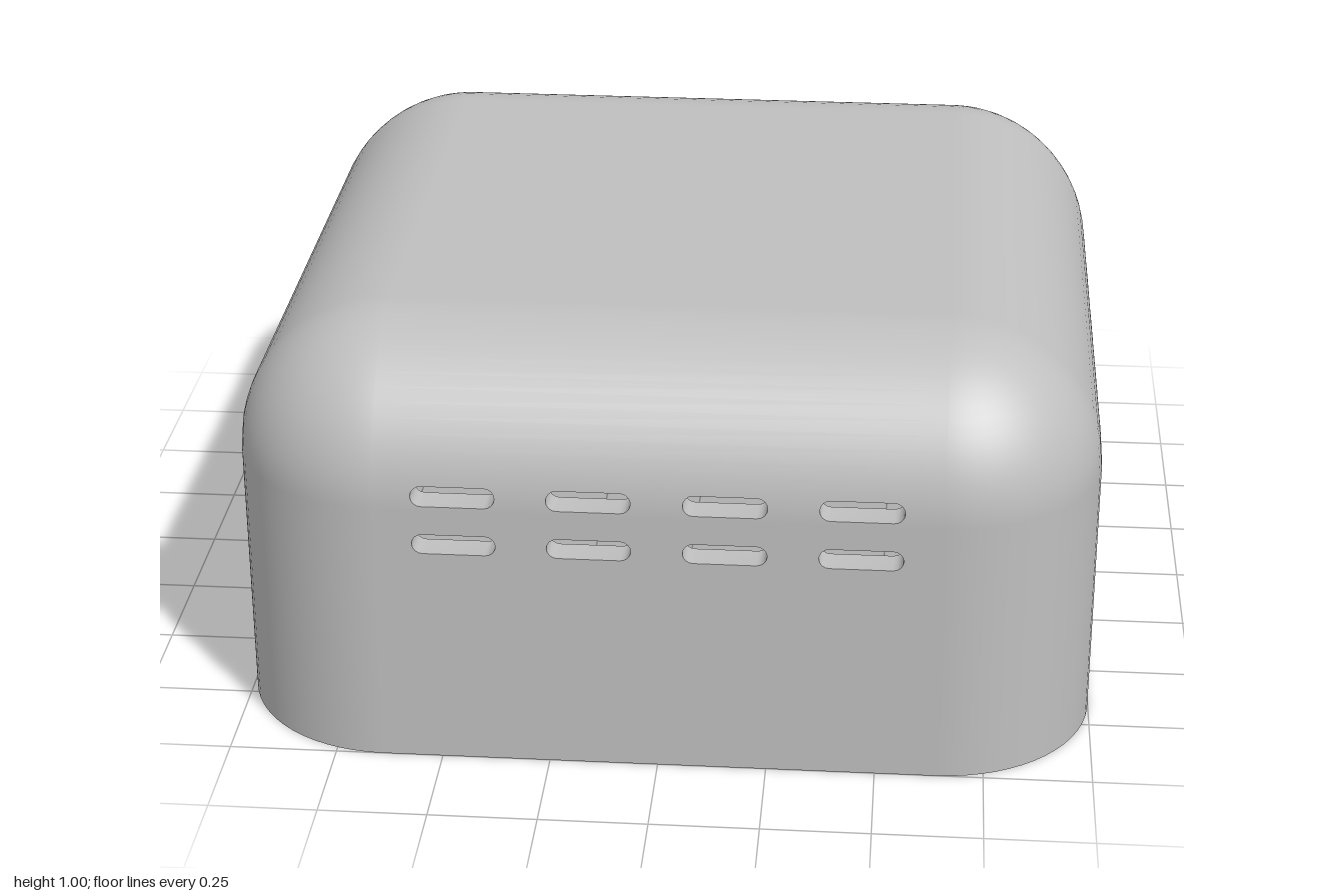
import * as THREE from 'three';
import { toCreasedNormals } from 'three/addons/utils/BufferGeometryUtils.js';

const CORE = 0.64;            // half width of the flat areas, and where the top rounding starts
const OUT = 0.36, INN = 0.29; // outer and inner rounding radius
const WALL = OUT - INN;
const BAND = 0.71;            // top of the vented band
const POCKET = 0.035;         // depth of the clip pockets and ceiling recess

const grey = new THREE.MeshStandardMaterial({ color: 0xbfbfbf });
grey.name = 'grey plastic';

function add(parent, name, geometry) {
  const mesh = new THREE.Mesh(geometry, grey);
  mesh.name = name;
  parent.add(mesh);
  return mesh;
}

// Distance of the rounded wall from the centre at height y
function surfaceZ(y, radius) {
  const h = Math.max(0, y - CORE);
  return CORE + Math.sqrt(Math.max(0, radius * radius - h * h));
}

// Exact normals of a rounded box; the inner skin is turned inside out
function finishSkin(geometry, inward) {
  const p = geometry.attributes.position, n = geometry.attributes.normal;
  const point = new THREE.Vector3(), core = new THREE.Vector3();
  for (let i = 0; i < p.count; i++) {
    point.fromBufferAttribute(p, i);
    core.set(THREE.MathUtils.clamp(point.x, -CORE, CORE), Math.min(point.y, CORE),
      THREE.MathUtils.clamp(point.z, -CORE, CORE));
    point.sub(core).normalize().multiplyScalar(inward ? -1 : 1);
    n.setXYZ(i, point.x, point.y, point.z);
  }
  if (inward) geometry.index.array.reverse();
  return geometry;
}

// Push a flat panel out onto the rounded wall
function bend(geometry, radius) {
  const p = geometry.attributes.position;
  for (let i = 0; i < p.count; i++) p.setZ(i, surfaceZ(p.getY(i), radius));
  return finishSkin(geometry, radius === INN);
}

function rectPoints(cx, cy, w, h) {
  return [[-1, -1], [1, -1], [1, 1], [-1, 1]].map(([a, b]) => new THREE.Vector2(cx + a * w / 2, cy + b * h / 2));
}

function slotPoints(cx, cy, w, h) {
  const points = [], steps = 8;
  for (const side of [1, -1]) {
    for (let i = 0; i <= steps; i++) {
      const a = -Math.PI / 2 + Math.PI * i / steps;
      points.push(new THREE.Vector2(
        cx + side * (w / 2 - h / 2 + Math.cos(a) * h / 2), cy + side * Math.sin(a) * h / 2));
    }
  }
  return points;
}

function panel(outline, holes) {
  const shape = new THREE.Shape(outline);
  shape.holes = holes.map(h => new THREE.Path(h));
  return new THREE.ShapeGeometry(shape);
}

// Walls lining a hole, from the high z to the low z
function holeWalls(points, highZ, lowZ) {
  const v = [];
  points.forEach((a, i) => {
    const b = points[(i + 1) % points.length];
    const A = [a.x, a.y, highZ(a.y)], B = [b.x, b.y, highZ(b.y)];
    const C = [b.x, b.y, lowZ(b.y)], D = [a.x, a.y, lowZ(a.y)];
    v.push(...A, ...B, ...C, ...A, ...C, ...D);
  });
  const g = new THREE.BufferGeometry();
  g.setAttribute('position', new THREE.Float32BufferAttribute(v, 3));
  g.computeVertexNormals();
  return toCreasedNormals(g, 0.6);
}

// Heights up the rounding, from the vented band to the top
function roundingHeights(radius, steps = 14) {
  const start = Math.asin((BAND - CORE) / radius);
  return Array.from({ length: steps + 1 }, (_, i) =>
    CORE + radius * Math.sin(start + (Math.PI / 2 - start) * i / steps));
}

function createSide() {
  const side = new THREE.Group();
  side.name = 'side';
  const xs = [-0.458, -0.153, 0.153, 0.458];
  const lowVents = xs.map(x => slotPoints(x, 0.556, 0.19, 0.048));
  const highVents = xs.map(x => slotPoints(x, 0.675, 0.19, 0.048));
  const pockets = [-0.375, 0.375].map(x => rectPoints(x, 0.12, 0.25, 0.055));
  const lower = rectPoints(0, CORE / 2, 2 * CORE, CORE);
  const upper = rectPoints(0, (CORE + BAND) / 2, 2 * CORE, BAND - CORE);

  for (const radius of [OUT, INN]) {
    const label = radius === OUT ? 'outer' : 'inner';
    const holes = radius === OUT ? lowVents : [...lowVents, ...pockets];
    add(side, label + 'Wall', bend(panel(lower, holes), radius));
    add(side, label + 'VentBand', bend(panel(upper, highVents), radius));
    // Rounded edge between wall and top
    const heights = roundingHeights(radius);
    const strip = new THREE.PlaneGeometry(2 * CORE, 1, 1, heights.length - 1);
    const p = strip.attributes.position;
    for (let i = 0; i < p.count; i++) p.setY(i, heights[heights.length - 1 - Math.floor(i / 2)]);
    add(side, label + 'Rounding', bend(strip, radius));
  }

  for (const vent of [...lowVents, ...highVents]) {
    add(side, 'ventLining', holeWalls(vent, y => surfaceZ(y, OUT), y => surfaceZ(y, INN)));
  }

  // Clip pockets sunk into the inside of the wall
  const inside = CORE + INN;
  for (const pocket of pockets) {
    add(side, 'clipPocketSides', holeWalls(pocket, () => inside + POCKET, () => inside));
    add(side, 'clipPocketBack', panel(pocket, []).rotateY(Math.PI)
      .translate(pocket[0].x + pocket[1].x, 0, inside + POCKET));
  }

  add(side, 'bottomRim', new THREE.PlaneGeometry(2 * CORE, WALL).rotateX(Math.PI / 2)
    .translate(0, 0, CORE + INN + WALL / 2));
  return side;
}

function createCorner() {
  const corner = new THREE.Group();
  corner.name = 'corner';
  const turn = profile => new THREE.LatheGeometry(profile, 16, 0, Math.PI / 2).translate(CORE, 0, CORE);
  for (const radius of [OUT, INN]) {
    const profile = [0, CORE, ...roundingHeights(radius)]
      .map(y => new THREE.Vector2(surfaceZ(y, radius) - CORE, y));
    add(corner, radius === OUT ? 'outerCorner' : 'innerCorner', finishSkin(turn(profile), radius === INN));
  }
  add(corner, 'cornerRim', turn([new THREE.Vector2(INN, 0), new THREE.Vector2(OUT, 0)]));
  return corner;
}

export function createModel() {
  const model = new THREE.Group();
  model.name = 'ventedCover';

  for (let i = 0; i < 4; i++) {
    for (const part of [createSide(), createCorner()]) {
      part.rotation.y = i * Math.PI / 2;
      model.add(part);
    }
  }

  // Flat top, and the ceiling with its shallow recess
  add(model, 'top', new THREE.PlaneGeometry(2 * CORE, 2 * CORE).rotateX(-Math.PI / 2).translate(0, CORE + OUT, 0));
  const recess = rectPoints(0, 0, 1.1, 0.92);
  const hang = (name, geometry, y) => add(model, name, geometry.rotateX(Math.PI / 2).translate(0, y, 0));
  const ceiling = CORE + INN;
  hang('ceiling', panel(rectPoints(0, 0, 2 * CORE, 2 * CORE), [recess]), ceiling);
  hang('ceilingRecessSides', holeWalls(recess, () => 0, () => -POCKET), ceiling);
  hang('ceilingRecess', panel(recess, []), ceiling + POCKET);
  return model;
}
